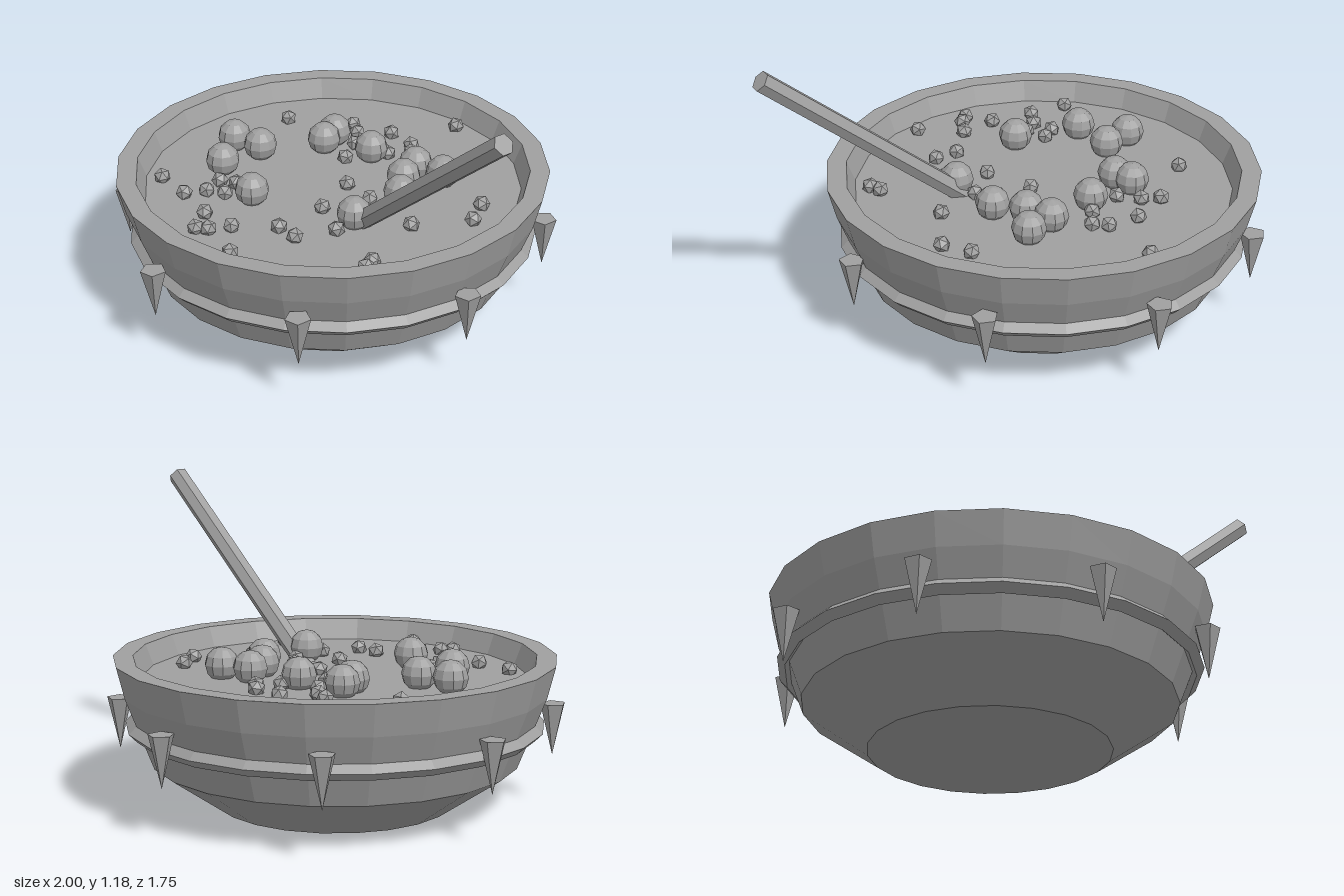
import * as THREE from 'three';

export function createModel() {
  const model = new THREE.Group();
  const grey = new THREE.MeshStandardMaterial({ color: 0xa0a0a0, flatShading: true });
  grey.name = 'stone grey';

  const add = (name, geometry, parent, x = 0, y = 0, z = 0) => {
    const mesh = new THREE.Mesh(geometry, grey);
    mesh.name = name;
    mesh.position.set(x, y, z);
    parent.add(mesh);
    return mesh;
  };
  const group = (name, parent) => {
    const g = new THREE.Group();
    g.name = name;
    parent.add(g);
    return g;
  };

  const SIDES = 22;
  const SOUP_Y = 0.487;
  const cauldron = group('cauldron', model);
  cauldron.position.x = -0.132;

  // Bowl shell, rim and inner wall in one turned profile
  const profile = [[0, 0], [0.455, 0], [0.705, 0.172], [0.812, 0.445], [0.843, 0.568],
    [0.767, 0.568], [0.735, SOUP_Y], [0.72, 0.45]].map(p => new THREE.Vector2(...p));
  add('bowl', new THREE.LatheGeometry(profile, SIDES), cauldron).rotation.y = Math.PI / 2;

  // Flat soup surface
  const soup = new THREE.CircleGeometry(0.737, SIDES).rotateX(-Math.PI / 2);
  add('soup', soup, cauldron, 0, SOUP_Y, 0);

  // Diamond-section band around the belly
  const band = new THREE.TorusGeometry(0.77, 0.03, 4, SIDES).rotateX(Math.PI / 2);
  add('band', band, cauldron, 0, 0.312, 0);

  // Eight downward spikes, all facing the same way
  const spikes = group('spikes', cauldron);
  const spike = new THREE.ConeGeometry(0.05, 0.2, 5).rotateX(Math.PI).rotateY(Math.PI / 2);
  for (let i = 0; i < 8; i++) {
    const a = i * Math.PI / 4;
    add('spike', spike, spikes, 0.828 * Math.cos(a), 0.292, 0.828 * Math.sin(a));
  }

  // Stirring handle, leaning out over the left side
  const low = new THREE.Vector3(0.13, 0.45, 0.103);
  const high = new THREE.Vector3(0.97, 1.155, 0.103);
  const rod = new THREE.CylinderGeometry(0.04, 0.04, low.distanceTo(high), 6);
  const handle = add('handle', rod, model);
  handle.position.copy(low).lerp(high, 0.5);
  handle.rotation.z = -Math.atan2(high.x - low.x, high.y - low.y);

  // Large round lumps floating in the soup
  const lumps = group('lumps', model);
  const lump = new THREE.SphereGeometry(0.067, 10, 6);
  [[0.01, -0.3], [0.13, -0.34], [0.06, -0.2], [0.155, -0.11], [-0.2, -0.24], [-0.405, -0.21],
    [-0.375, -0.135], [-0.61, 0.14], [-0.485, 0.1], [-0.47, 0.29], [-0.2, 0.335], [0.18, 0.13],
  ].forEach(([x, z]) => add('lump', lump, lumps, x, 0.538, z));

  // Small faceted bits, each turned differently
  const bits = group('bits', model);
  const bit = new THREE.IcosahedronGeometry(0.034, 0);
  [[-0.19, -0.67], [-0.3, -0.42], [-0.17, -0.42], [-0.12, -0.38], [-0.455, -0.34], [-0.385, -0.31],
    [-0.315, -0.245], [-0.17, -0.3], [-0.245, -0.145], [-0.66, -0.16], [0.37, -0.335], [0.44, -0.235],
    [-0.065, -0.02], [0.08, -0.02], [0.33, -0.025], [0.145, 0.045], [0.025, 0.165], [0.19, 0.22],
    [0.45, 0.25], [0.47, 0.295], [-0.33, 0.32], [-0.385, 0.36], [-0.29, 0.4], [-0.35, 0.445],
    [-0.545, 0.525], [-0.385, 0.525], [-0.21, 0.545], [-0.065, 0.52], [-0.1, 0.6], [-0.135, 0.635],
    [0.045, 0.38], [0.14, 0.375], [0.09, 0.63],
  ].forEach(([x, z], i) => {
    add('bit', bit, bits, x, 0.505, z).rotation.set(i * 1.3, i * 2.1, i * 0.7);
  });

  return model;
}
